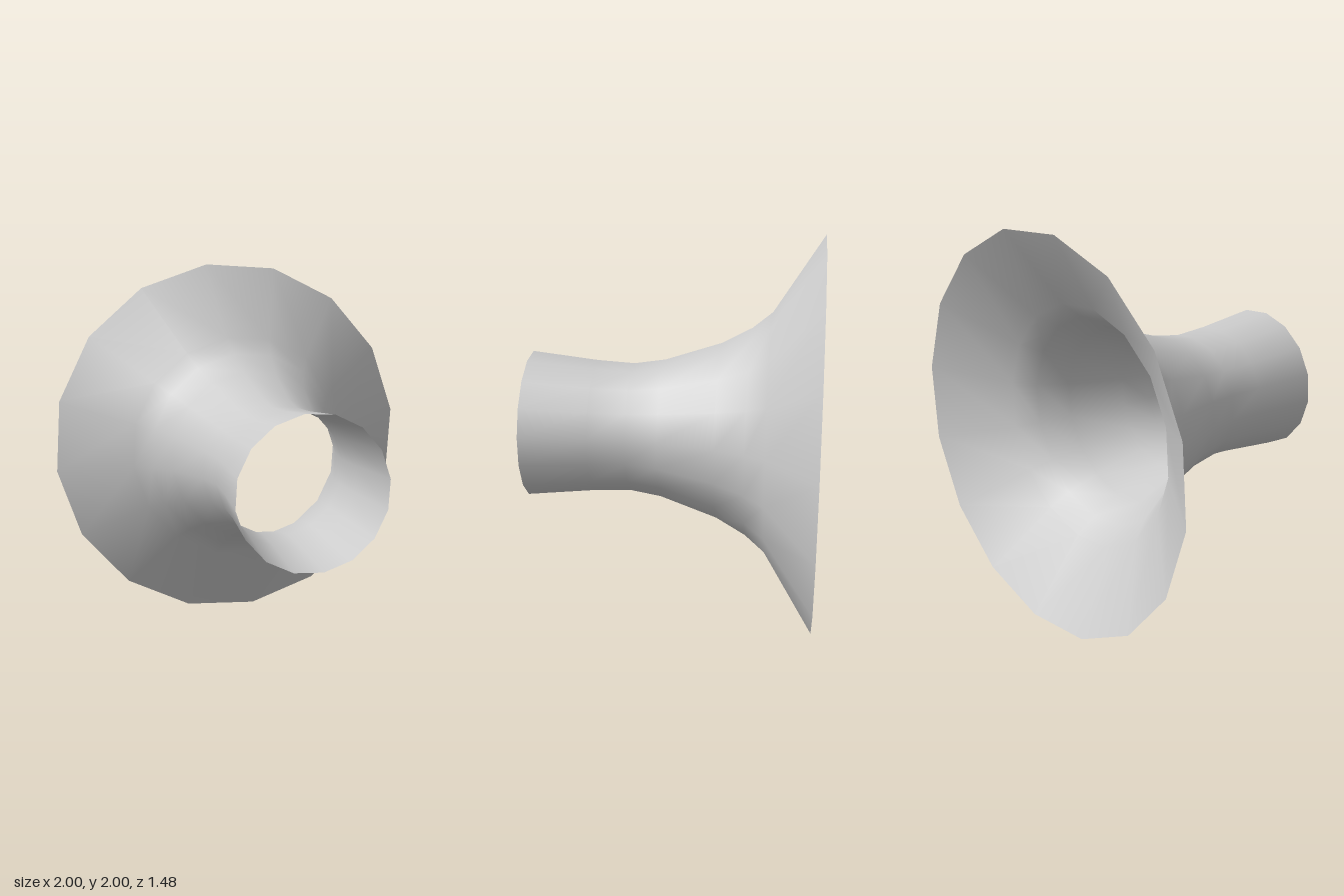
import * as THREE from 'three';

export function createModel() {
  const model = new THREE.Group();

  // Horn profile as [radius, z], from the wide rear rim to the narrow front mouth
  const profile = [
    [1.008, -0.74], [0.617, -0.49], [0.535, -0.39], [0.454, -0.24],
    [0.358, 0.05], [0.333, 0.21], [0.343, 0.4], [0.379, 0.74],
  ].map(([r, z]) => new THREE.Vector2(r, z));

  // Sixteen-sided open shell, turned slightly about its axis, axis laid along z
  const geometry = new THREE.LatheGeometry(profile, 16, THREE.MathUtils.degToRad(7.5));
  geometry.rotateX(Math.PI / 2);

  const horn = new THREE.Mesh(
    geometry,
    new THREE.MeshStandardMaterial({ color: 0xcccccc, side: THREE.DoubleSide }),
  );
  horn.name = 'flaredHorn';
  horn.position.y = 1;
  model.add(horn);

  return model;
}
